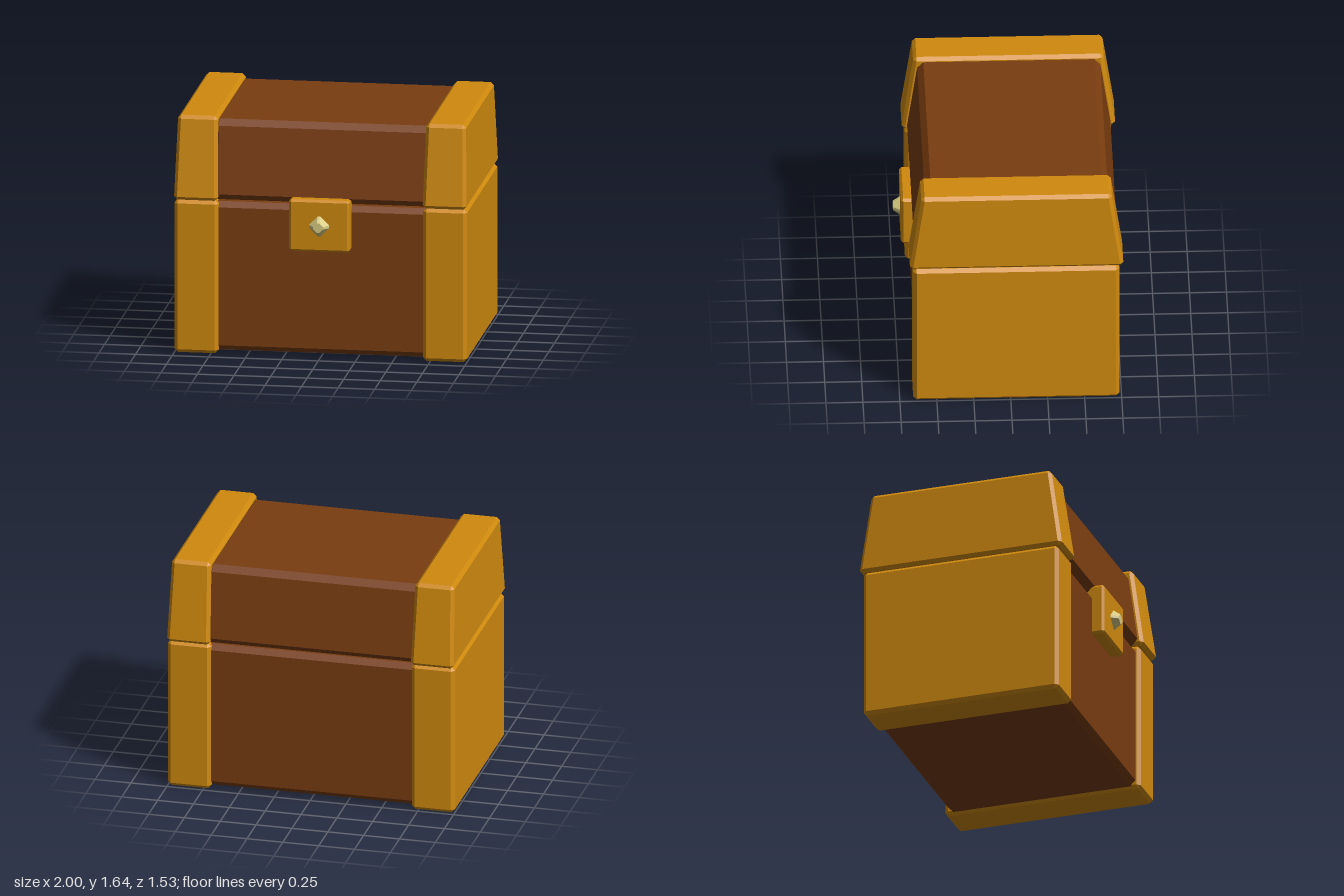
import * as THREE from 'three';
import { ConvexGeometry } from 'three/addons/geometries/ConvexGeometry.js';

const gold = new THREE.MeshStandardMaterial({ color: 0xd08a0e });
gold.name = 'gold';
const wood = new THREE.MeshStandardMaterial({ color: 0x7a3d10 });
wood.name = 'brown wood';
const brass = new THREE.MeshStandardMaterial({ color: 0xd8cc82 });
brass.name = 'pale brass';

// Box with chamfered edges; bottom and top are [x0, x1, z0, z1] and may differ to taper it.
function chamferBox(bottom, top, y0, y1, c) {
  const points = [];
  for (const [rect, y, up] of [[bottom, y0, 1], [top, y1, -1]]) {
    for (const i of [0, 1]) {
      for (const k of [0, 1]) {
        const x = rect[i], z = rect[2 + k];
        const dx = i ? -c : c, dz = k ? -c : c, dy = up * c;
        points.push(
          new THREE.Vector3(x, y + dy, z + dz),
          new THREE.Vector3(x + dx, y + dy, z),
          new THREE.Vector3(x + dx, y, z + dz)
        );
      }
    }
  }
  return new ConvexGeometry(points);
}

// Square pyramid stump with clipped ridges, pointing along +z.
function studGeometry() {
  const points = [];
  for (const [r, z, clip] of [[0.072, 0, 0.01], [0.034, 0.052, 0.008]]) {
    for (const s of [-1, 1]) {
      for (const t of [-1, 1]) {
        points.push(new THREE.Vector3(s * r, t * clip, z), new THREE.Vector3(t * clip, s * r, z));
      }
    }
  }
  return new ConvexGeometry(points);
}

export function createModel() {
  const group = new THREE.Group();
  const add = (name, geometry, material) => {
    const mesh = new THREE.Mesh(geometry, material);
    mesh.name = name;
    group.add(mesh);
    return mesh;
  };

  // Wooden base and tapered lid, with a thin gap between them
  const base = [-0.75, 0.75, -0.71, 0.63];
  add('base', chamferBox(base, base, 0.018, 1.05, 0.037), wood);
  add('lid', chamferBox([-0.75, 0.75, -0.73, 0.645], [-0.75, 0.75, -0.662, 0.577], 1.065, 1.61, 0.042), wood);

  // Gold end bands on both sides
  for (const [side, s] of [['left', 1], ['right', -1]]) {
    const rect = (inner, outer, z0, z1) => (s > 0 ? [inner, outer, z0, z1] : [-outer, -inner, z0, z1]);
    const foot = rect(0.7, 1, -0.735, 0.66);
    add(side + 'BaseBand', chamferBox(foot, foot, 0, 1.062, 0.024), gold);
    add(side + 'LidBand',
      chamferBox(rect(0.7, 1, -0.762, 0.682), rect(0.712, 0.985, -0.685, 0.605), 1.065, 1.637, 0.023), gold);
  }

  // Lock plate with its stud
  const plate = [-0.207, 0.207, 0.58, 0.717];
  add('lockPlate', chamferBox(plate, plate, 0.748, 1.108, 0.016), gold);
  add('lockStud', studGeometry(), brass).position.set(0, 0.926, 0.713);

  return group;
}
